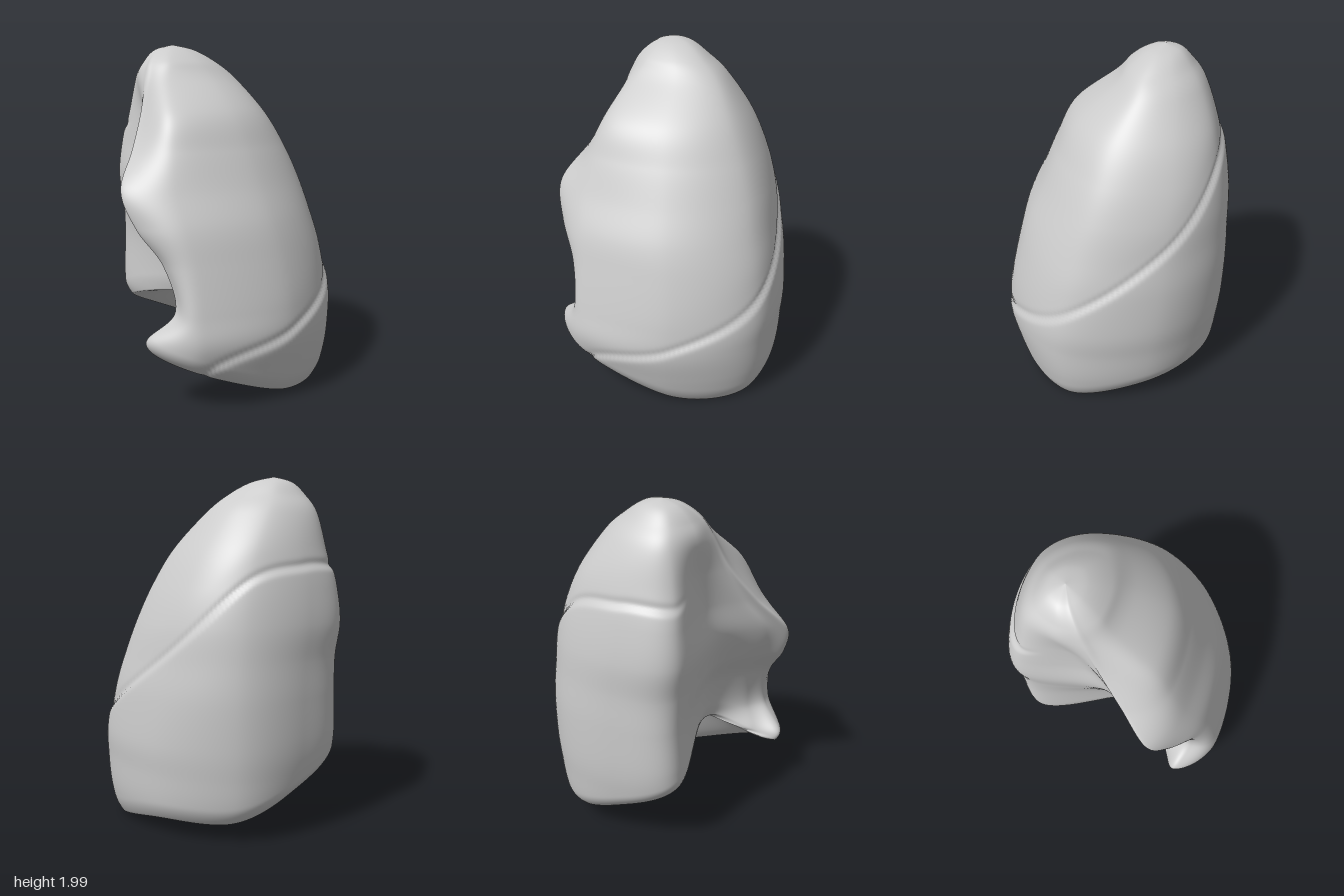
import * as THREE from 'three';

// Landmarks by height: y, lateral x, front x, front z, anterior edge x and z, hollow x, posterior x, back z, back x
const LEVELS = [
  [0.0, 0.59, -0.1, 0.6, -0.32, 0.52, -0.24, -0.46, -0.61, 0.0],
  [0.2, 0.635, -0.1, 0.67, -0.38, 0.6, -0.26, -0.54, -0.67, 0.0],
  [0.38, 0.65, -0.1, 0.715, -0.42, 0.615, -0.27, -0.61, -0.695, 0.0],
  [0.55, 0.648, -0.1, 0.69, -0.25, 0.61, -0.23, -0.63, -0.71, 0.0],
  [0.8, 0.6, -0.13, 0.64, -0.31, 0.58, -0.28, -0.625, -0.715, 0.0],
  [1.0, 0.54, -0.19, 0.6, -0.455, 0.55, -0.37, -0.63, -0.705, -0.01],
  [1.2, 0.47, -0.25, 0.52, -0.54, 0.485, -0.44, -0.655, -0.69, -0.03],
  [1.4, 0.38, -0.27, 0.43, -0.495, 0.3, -0.45, -0.63, -0.65, -0.06],
  [1.6, 0.26, -0.28, 0.32, -0.455, 0.14, -0.475, -0.58, -0.585, -0.11],
  [1.8, 0.085, -0.3, 0.08, -0.425, 0.025, -0.51, -0.525, -0.475, -0.2],
  [1.9, -0.04, -0.3, -0.01, -0.41, -0.045, -0.47, -0.465, -0.39, -0.25],
  [1.97, -0.17, -0.3, -0.11, -0.365, -0.13, -0.405, -0.395, -0.315, -0.28],
  [2.0, -0.3, -0.3, -0.22, -0.3, -0.22, -0.3, -0.3, -0.22, -0.3],
];
// Around the outline: edge, front, front-lateral, lateral, back-lateral, back, back-medial, posterior, hollow, behind edge
const RIM = [0.33, 0.21, 0.03, 0.02, 0.11, 0.12, 0.24, 0.41, 0.54, 0.41];
const FISSURE = [-0.3, 0.23, 0.42, 0.67, 1.06, 1.44, 1.52, 1.51, 1.5, 0.8];
const TOP = LEVELS.length - 1, DOME = 0.56;
const SIDES = 200, BASE_ROWS = 30, WALL_ROWS = 200;

const { lerp: mix, smoothstep } = THREE.MathUtils;

function spline(a, b, c, d, t) {
  return b + 0.5 * t * (c - a + t * (2 * a - 5 * b + 4 * c - d + t * (3 * (b - c) + d - a)));
}

// Smooth value on a closed list
function around(list, u) {
  const n = list.length, i = Math.floor(u);
  const at = (k) => list[(i + k + n) % n];
  return spline(at(-1), at(0), at(1), at(2), u - i);
}

// Smooth landmark value at fractional level k
function landmark(col, k) {
  const i = Math.min(Math.floor(k), TOP - 1);
  const at = (j) => LEVELS[THREE.MathUtils.clamp(i + j, 0, TOP)][col];
  return spline(at(-1), at(0), at(1), at(2), k - i);
}

// Fractional level whose height is y
function levelAt(y) {
  let lo = 0, hi = TOP;
  for (let n = 0; n < 30; n++) {
    const m = (lo + hi) / 2;
    if (landmark(0, m) < y) lo = m; else hi = m;
  }
  return lo;
}

// Point of the horizontal outline at level k and position u
function outline(k, u) {
  const [xl, xf, zf, ex, ez, hx, px, zb, xb] = [1, 2, 3, 4, 5, 6, 7, 8, 9].map((c) => landmark(c, k));
  const zl = (zf + zb) / 2;
  const pz = zl - 0.23 * (zf - zb);
  const hz = mix(pz, ez, 0.52);
  const xs = [ex, xf, mix(xf, xl, 0.66), xl, mix(xb, xl, 0.65), xb, mix(xb, px, 0.62), px, hx, mix(ex, hx, 0.45)];
  const zs = [ez, zf, mix(zl, zf, 0.66), zl, mix(zl, zb, 0.69), zb, mix(pz, zb, 0.72), pz, hz, mix(ez, hz, 0.3)];
  return { x: around(xs, u), z: around(zs, u), cx: mix(xf, xl, 0.35), cz: zl };
}

// Thin groove between the lobes, with the lower lobe standing slightly proud
function groove(u, y) {
  const mask = smoothstep(u, 0.8, 1.1) * (1 - smoothstep(u, 6.8, 7.5));
  const d = y - around(FISSURE, u);
  const lower = 0.006 * Math.exp(-((d / 0.2) ** 2));
  const upper = -0.006 * Math.exp(-((d / 0.15) ** 2));
  const dent = -0.012 * Math.exp(-((d / 0.023) ** 2));
  return mask * (mix(lower, upper, smoothstep(d, -0.04, 0.03)) + dent);
}

export function createModel() {
  const rows = BASE_ROWS + WALL_ROWS;
  const positions = [], lobes = { upperLobe: [], lowerLobe: [], diaphragmBase: [] };
  const columns = Array.from({ length: SIDES }, (_, i) => {
    const u = (i / SIDES) * RIM.length;
    const rim = Math.max(0, around(RIM, u));
    return { u, rim, k0: levelAt(rim) };
  });

  // Rows run from the middle of the hollow base, out to the rim and up to the apex
  for (let j = 0; j <= rows; j++) {
    for (const { u, rim, k0 } of columns) {
      if (j < BASE_ROWS) {
        const r = j / BASE_ROWS;
        const p = outline(k0, u);
        const y = mix(rim, DOME, smoothstep(1 - r, 0, 0.75));
        positions.push(mix(0.08, mix(p.cx, p.x, 0.95), r), y, mix(-0.02, mix(p.cz, p.z, 0.95), r));
      } else {
        const v = (j - BASE_ROWS) / WALL_ROWS;
        const k = mix(k0, TOP, v);
        const p = outline(k, u);
        const y = Math.min(2, landmark(0, k));
        const round = 0.05 * (1 - Math.min(1, (y - rim) / 0.1)) ** 2;
        const dx = p.x - p.cx, dz = p.z - p.cz;
        const s = 1 - round + groove(u, y) / Math.max(0.2, Math.hypot(dx, dz));
        positions.push(p.cx + dx * s, y, p.cz + dz * s);
      }
    }
  }

  // Faces are sorted into base, lower lobe and upper lobe
  for (let j = 0; j < rows; j++) {
    for (let i = 0; i < SIDES; i++) {
      const n = (i + 1) % SIDES;
      const a = j * SIDES + i, b = j * SIDES + n, c = a + SIDES, d = b + SIDES;
      const { u } = columns[i];
      const low = u > 0.8 && u < 8 && positions[a * 3 + 1] < around(FISSURE, u);
      const part = j < BASE_ROWS ? 'diaphragmBase' : low ? 'lowerLobe' : 'upperLobe';
      lobes[part].push(a, b, c, b, d, c);
    }
  }

  // Normals are shared, so the parts join smoothly
  const whole = new THREE.BufferGeometry();
  whole.setAttribute('position', new THREE.Float32BufferAttribute(positions, 3));
  whole.setIndex(Object.values(lobes).flat());
  whole.computeVertexNormals();
  for (let i = 0; i < SIDES; i++) {
    whole.attributes.normal.setXYZ(i, 0, -1, 0);
    whole.attributes.normal.setXYZ(rows * SIDES + i, 0, 1, 0);
  }

  const group = new THREE.Group();
  group.name = 'lung';
  const material = new THREE.MeshStandardMaterial({ color: 0xcccccc });
  for (const [name, index] of Object.entries(lobes)) {
    const geometry = new THREE.BufferGeometry();
    geometry.setAttribute('position', whole.attributes.position);
    geometry.setAttribute('normal', whole.attributes.normal);
    geometry.setIndex(index);
    const mesh = new THREE.Mesh(geometry, material);
    mesh.name = name;
    group.add(mesh);
  }
  return group;
}
